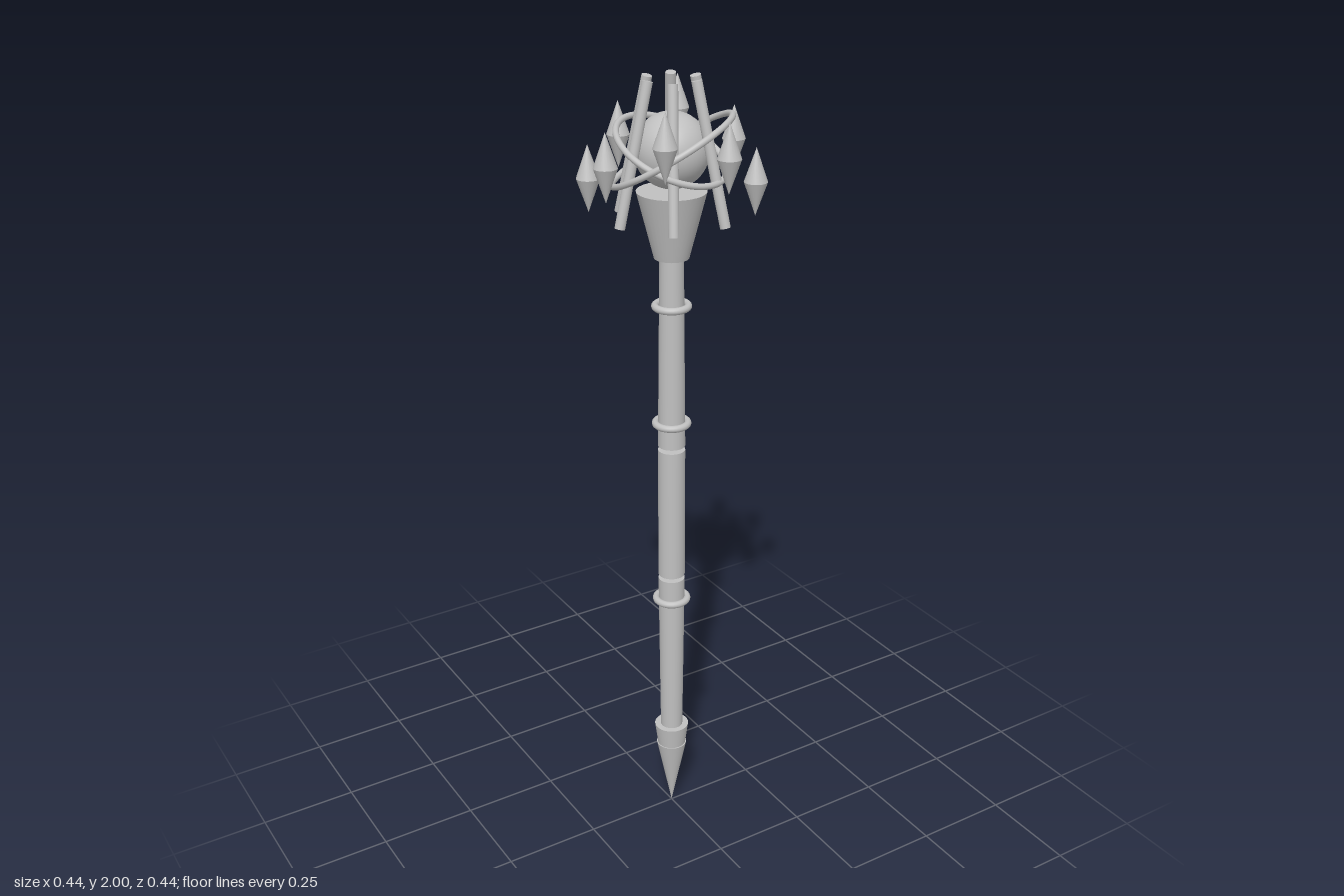
import * as THREE from 'three';

export function createModel() {
  const group = new THREE.Group();
  const metal = new THREE.MeshStandardMaterial({ color: 0xc0c0c0 });
  metal.name = 'grey metal';
  const up = new THREE.Vector3(0, 1, 0);

  const add = (name, geometry, x = 0, y = 0, z = 0, parent = group) => {
    const mesh = new THREE.Mesh(geometry, metal);
    mesh.name = name;
    mesh.position.set(x, y, z);
    parent.add(mesh);
    return mesh;
  };
  // Upright cylinder between two heights
  const column = (name, y0, y1, r0, r1, sides = 32) =>
    add(name, new THREE.CylinderGeometry(r1, r0, y1 - y0, sides), 0, (y0 + y1) / 2, 0);

  // Pointed foot
  column('footSpike', 0, 0.2, 0, 0.04);
  column('footCollar', 0.19, 0.26, 0.036, 0.045);

  // Shaft in three pieces with narrow gaps
  column('lowerShaft', 0.26, 0.717, 0.029, 0.034);
  column('grip', 0.728, 1.083, 0.034, 0.034);
  column('upperShaft', 1.094, 1.59, 0.034, 0.029);

  // Bands around the shaft
  for (const y of [0.655, 1.155, 1.46]) {
    add('shaftBand', new THREE.TorusGeometry(0.04, 0.009, 12, 40), 0, y, 0).rotation.x = Math.PI / 2;
  }

  // Flared cup and floating orb
  column('cup', 1.58, 1.74, 0.042, 0.083);
  const orbY = 1.835;
  add('orb', new THREE.SphereGeometry(0.088, 40, 28), 0, orbY, 0);

  // Six prongs leaning in over the orb
  for (let i = 0; i < 6; i++) {
    const a = (i * Math.PI) / 3;
    const top = new THREE.Vector3(0.063 * Math.cos(a), 1.997, 0.063 * Math.sin(a));
    const bottom = new THREE.Vector3(0.139 * Math.cos(a), 1.672, 0.139 * Math.sin(a));
    const axis = top.clone().sub(bottom);
    const mid = top.clone().add(bottom).multiplyScalar(0.5);
    const prong = add('prong', new THREE.CylinderGeometry(0.0125, 0.0125, axis.length(), 16), mid.x, mid.y, mid.z);
    prong.quaternion.setFromUnitVectors(up, axis.normalize());
  }

  // Two rings tilted opposite ways around the orb
  const orbit = (name, radius, nx, ny, nz) => {
    const ring = add(name, new THREE.TorusGeometry(radius, 0.0075, 12, 64), 0, orbY, 0);
    ring.quaternion.setFromUnitVectors(new THREE.Vector3(0, 0, 1), new THREE.Vector3(nx, ny, nz).normalize());
  };
  orbit('outerRing', 0.159, -0.385, 0.863, -0.325);
  orbit('innerRing', 0.136, 0.19, 0.895, 0.4);

  // Eight floating double-pointed crystals at varying heights
  const heights = [1.83, 1.765, 1.853, 1.888, 1.827, 1.765, 1.835, 1.888];
  heights.forEach((y, i) => {
    const a = THREE.MathUtils.degToRad(-9 + 45 * i);
    const crystal = new THREE.Group();
    crystal.name = 'crystal';
    crystal.position.set(0.193 * Math.cos(a), y, 0.193 * Math.sin(a));
    add('crystalTop', new THREE.ConeGeometry(0.028, 0.08, 20, 1, true), 0, 0.04, 0, crystal);
    add('crystalBottom', new THREE.ConeGeometry(0.028, 0.08, 20, 1, true), 0, -0.04, 0, crystal).rotation.x = Math.PI;
    group.add(crystal);
  });

  return group;
}
